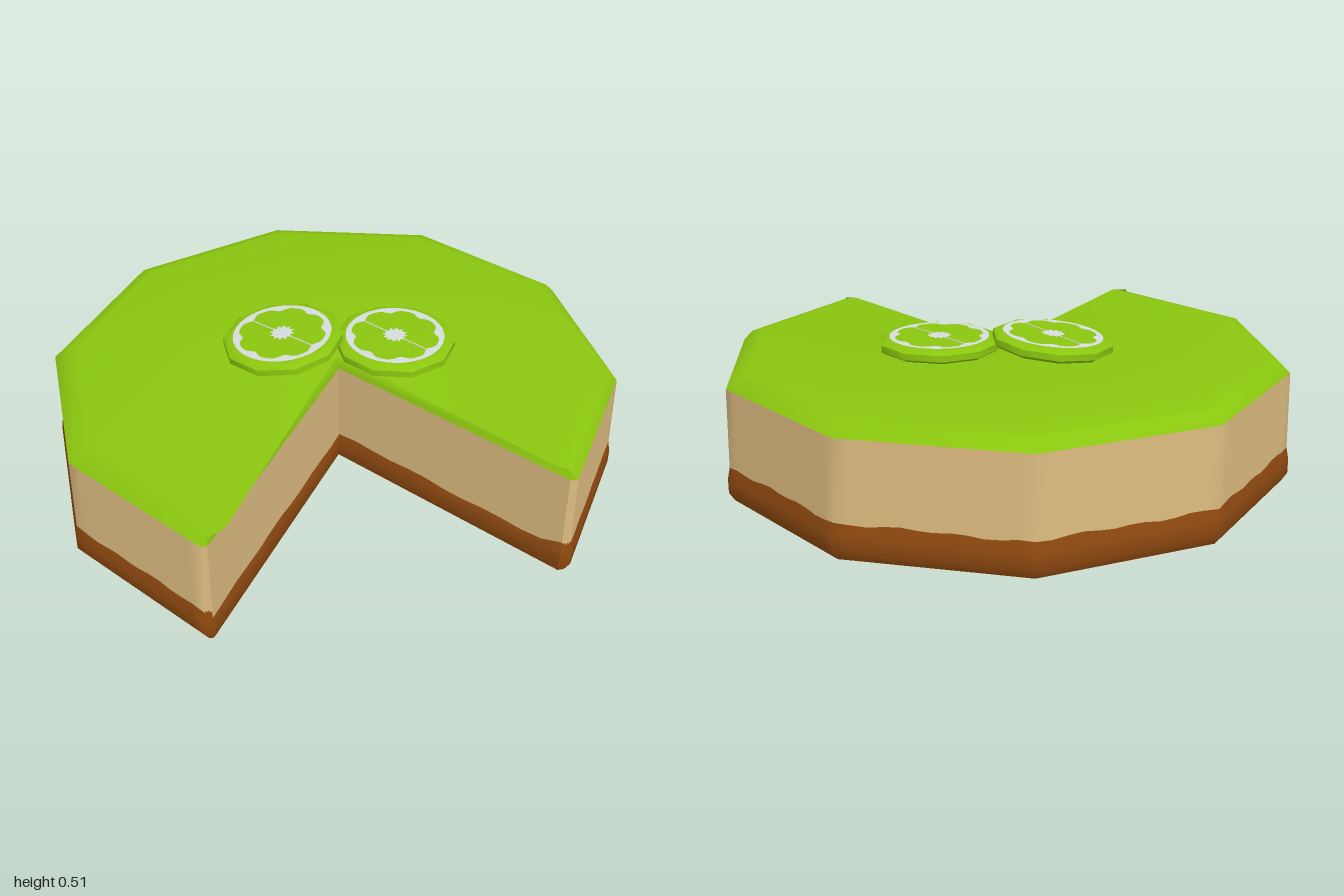
import * as THREE from 'three';
import { toCreasedNormals } from 'three/addons/utils/BufferGeometryUtils.js';

const mat = (name, color) => new THREE.MeshStandardMaterial({ name, color });

// Ten-sided cake plan (x, z) with one wedge removed; point 0 is the cut's inner corner
const plan = [[0.008, 0.028], [0.01, 0.965], [0.042, 0.99]];
for (let k = 1; k <= 7; k++) {
  const a = k * Math.PI / 5;
  plan.push([Math.sin(a) * 1.005, Math.cos(a)]);
}
plan.push([-0.96, 0.285], [-0.935, 0.313]);
const N = plan.length;

// How far each edge moves in: cut faces, small corner chamfers, outer sides
function edgeInset(i, outer, cut) {
  if (i === 0 || i === N - 1) return cut;
  if (i === 1 || i === N - 2) return cut * 0.5 + outer * 0.3;
  return outer;
}

// Plan moved inwards, each edge split into n pieces
function outline(outer, cut, n = 1) {
  const lines = plan.map((p, i) => {
    const q = plan[(i + 1) % N];
    const dx = q[0] - p[0], dz = q[1] - p[1], l = Math.hypot(dx, dz);
    const nx = -dz / l, nz = dx / l;
    return [nx, nz, nx * p[0] + nz * p[1] - edgeInset(i, outer, cut)];
  });
  const corners = lines.map((b, i) => {
    const a = lines[(i + N - 1) % N];
    const det = a[0] * b[1] - a[1] * b[0];
    return [(a[2] * b[1] - a[1] * b[2]) / det, (a[0] * b[2] - a[2] * b[0]) / det];
  });
  const out = [];
  corners.forEach((p, i) => {
    const q = corners[(i + 1) % N];
    for (let s = 0; s < n; s++) {
      const t = s / n;
      out.push([p[0] + (q[0] - p[0]) * t, p[1] + (q[1] - p[1]) * t]);
    }
  });
  return out;
}

// Ring of 3D points; y is a number or a function of the point index
const ring = (y, outer, cut, n) => outline(outer, cut, n)
  .map(([x, z], j) => [x, typeof y === 'function' ? y(j) : y, z]);

// Skin stacked rings, with optional flat caps fanned from the inner corner
function loft(rings, { top = false, bottom = false } = {}) {
  const v = [];
  for (let r = 0; r + 1 < rings.length; r++) {
    const lo = rings[r], hi = rings[r + 1], m = lo.length;
    for (let j = 0; j < m; j++) {
      const k = (j + 1) % m;
      v.push(...lo[j], ...lo[k], ...hi[k], ...lo[j], ...hi[k], ...hi[j]);
    }
  }
  const last = rings[rings.length - 1], first = rings[0];
  for (let j = 1; j + 1 < last.length; j++) {
    if (top) v.push(...last[0], ...last[j], ...last[j + 1]);
    if (bottom) v.push(...first[0], ...first[j + 1], ...first[j]);
  }
  const g = new THREE.BufferGeometry();
  g.setAttribute('position', new THREE.Float32BufferAttribute(v, 3));
  return toCreasedNormals(g, 0.9);
}

// Closed shape whose radius follows a rule of the angle
function radialPath(Type, radius, steps) {
  const pts = [];
  for (let i = 0; i < steps; i++) {
    const a = i / steps * Math.PI * 2, r = radius(a, i);
    pts.push(new THREE.Vector2(Math.cos(a) * r, Math.sin(a) * r));
  }
  return new Type(pts);
}

export function createModel() {
  const model = new THREE.Group();
  model.name = 'limePie';
  const crustMat = mat('biscuitBrown', 0x904a10);
  const creamMat = mat('creamBeige', 0xdcbc80);
  const limeMat = mat('limeGreen', 0x8ac60f);
  const pithMat = mat('pithWhite', 0xd6dcdb);

  const add = (parent, name, geometry, material) => {
    const m = new THREE.Mesh(geometry, material);
    m.name = name;
    parent.add(m);
    return m;
  };

  // Uneven line where crust meets filling, lower on the cut faces
  const S = 12;
  const crumbLine = (j) => {
    const e = Math.floor(j / S);
    const base = e === 0 || e === N - 1 ? 0.1 : 0.121;
    return base + 0.004 * Math.sin(j * 1.7) + 0.003 * Math.sin(j * 0.61);
  };
  const seam = ring(crumbLine, 0.008, 0.006, S);

  add(model, 'crust', loft([
    ring(0, 0.018, 0.01, S), ring(0.03, 0, 0, S), ring(0.08, 0, 0, S), seam,
  ], { bottom: true }), crustMat);
  add(model, 'filling', loft([seam, ring(0.39, 0.013, 0.008, S)]), creamMat);
  add(model, 'limeTopping', loft([
    ring(0.39, 0.013, 0.008), ring(0.424, 0.045, 0.014), ring(0.432, 0.085, 0.024),
  ], { top: true }), limeMat);

  // Lime slice: ten-sided bevelled disc with pith markings on top
  const profile = [[0, 0], [0.195, 0], [0.213, 0.012], [0.212, 0.034], [0.192, 0.046], [0.175, 0.047], [0, 0.047]]
    .map(([x, y]) => new THREE.Vector2(x, y));
  const discGeo = toCreasedNormals(new THREE.LatheGeometry(profile, 10), 0.9);

  const pithRing = radialPath(THREE.Shape, () => 0.174, 40);
  pithRing.holes.push(radialPath(THREE.Path,
    (a) => 0.156 - 0.018 * Math.pow(Math.abs(Math.cos(a * 4)), 5), 80));
  const ringGeo = new THREE.ShapeGeometry(pithRing).rotateX(-Math.PI / 2);
  const coreGeo = new THREE.ShapeGeometry(
    radialPath(THREE.Shape, (a, i) => (i % 2 ? 0.032 : 0.045), 24)).rotateX(-Math.PI / 2);

  function limeSlice(name, x, y, z, tiltX, tiltZ) {
    const g = new THREE.Group();
    g.name = name;
    add(g, 'rind', discGeo, limeMat);
    add(g, 'pithRing', ringGeo, pithMat).position.y = 0.0495;
    add(g, 'pithCore', coreGeo, pithMat).position.y = 0.0495;
    add(g, 'membrane', new THREE.BoxGeometry(0.004, 0.002, 0.3), pithMat).position.y = 0.048;
    g.position.set(x, y, z);
    g.rotation.set(tiltX, 0, tiltZ);
    model.add(g);
  }
  limeSlice('flatLimeSlice', 0.205, 0.429, 0.115, 0, 0);
  limeSlice('leaningLimeSlice', -0.06, 0.448, -0.175, -0.065, 0.065);

  return model;
}
